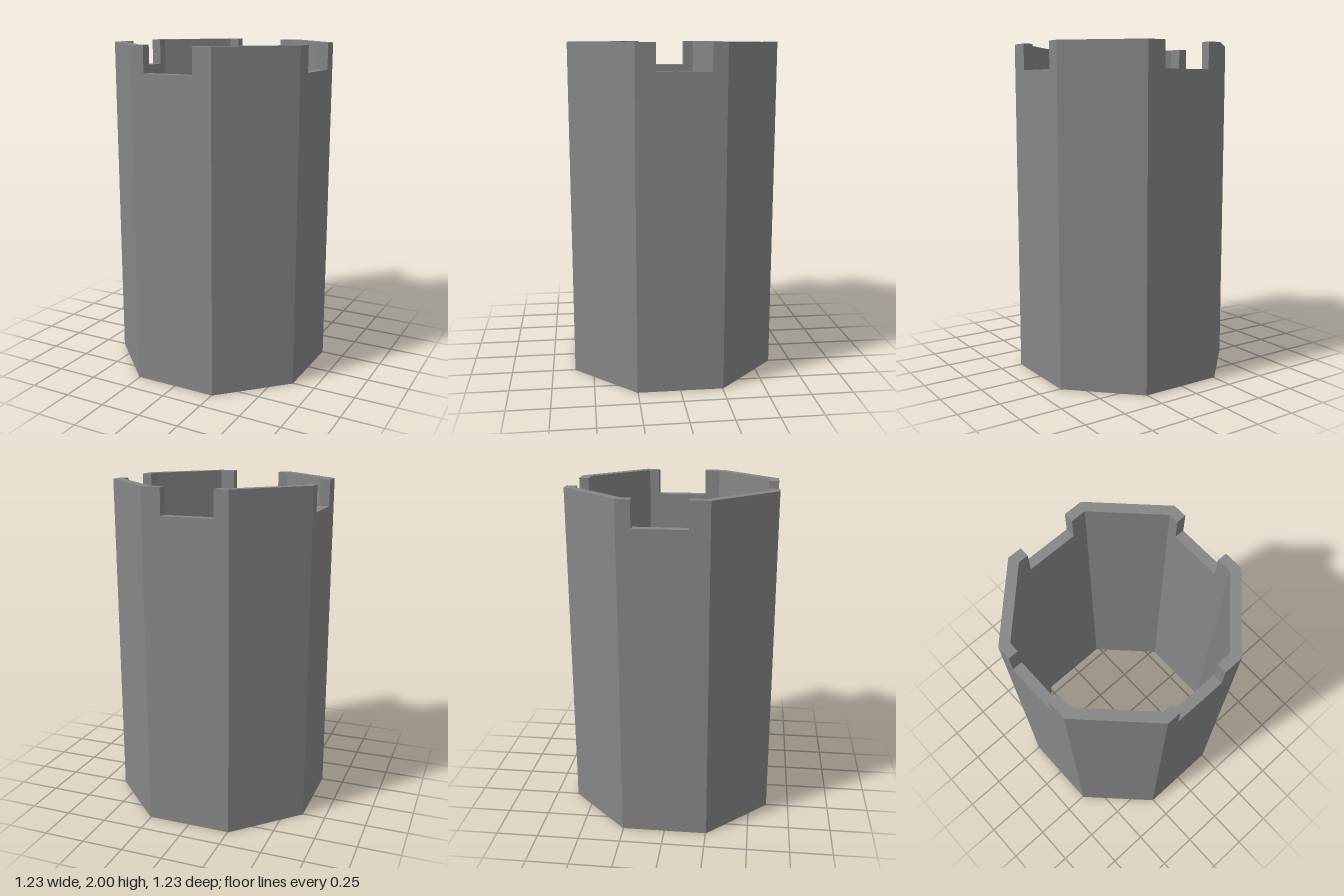
import * as THREE from 'three';

const HIGH = 2, LOW = 1.845;                    // merlon top, notch floor
const OUTER = { face: 0.613, corner: 0.254 };
const INNER = { face: 0.554, corner: 0.23 };
const NOTCH = [-0.17, 0.139];                   // same span in x and z on every notched side

// Plan of the wall: outer/inner point pairs, each with the height of the stretch that follows it
function wallPlan() {
  const plan = [];
  for (let i = 0; i < 4; i++) {
    // front, left, back, right side in turn
    const a = i * Math.PI / 2;
    const nx = Math.round(Math.sin(a)), nz = Math.round(Math.cos(a));
    const dx = nz, dz = -nx;
    const at = (face, t) => [nx * face + dx * t, nz * face + dz * t];
    const [start, end] = dx + dz > 0 ? NOTCH : [-NOTCH[1], -NOTCH[0]];
    const add = (tOuter, tInner, top) =>
      plan.push({ o: at(OUTER.face, tOuter), i: at(INNER.face, tInner), top });
    add(-OUTER.corner, -INNER.corner, HIGH);
    add(start, start, LOW);
    add(end, end, HIGH);
    add(OUTER.corner, INNER.corner, HIGH);
  }
  return plan;
}

function wallGeometry() {
  const pos = [];
  const p = ([x, z], y) => [x, y, z];
  const quad = (a, b, c, d) => pos.push(...a, ...b, ...c, ...a, ...c, ...d);
  const plan = wallPlan();
  plan.forEach((s, k) => {
    const e = plan[(k + 1) % plan.length], h = s.top;
    quad(p(s.o, 0), p(e.o, 0), p(e.o, h), p(s.o, h));   // outside
    quad(p(e.i, 0), p(s.i, 0), p(s.i, h), p(e.i, h));   // inside
    quad(p(s.o, h), p(e.o, h), p(e.i, h), p(s.i, h));   // top rim
    quad(p(s.i, 0), p(e.i, 0), p(e.o, 0), p(s.o, 0));   // bottom rim
    // upright cheeks of the notches
    if (e.top < h) quad(p(e.o, LOW), p(e.i, LOW), p(e.i, HIGH), p(e.o, HIGH));
    if (e.top > h) quad(p(e.i, LOW), p(e.o, LOW), p(e.o, HIGH), p(e.i, HIGH));
  });
  const g = new THREE.BufferGeometry();
  g.setAttribute('position', new THREE.Float32BufferAttribute(pos, 3));
  g.computeVertexNormals();
  return g;
}

export function createModel() {
  const group = new THREE.Group();
  group.name = 'octagonalTower';
  const wall = new THREE.Mesh(
    wallGeometry(),
    new THREE.MeshStandardMaterial({ color: 0x868686, flatShading: true })
  );
  wall.name = 'notchedWall';
  group.add(wall);
  return group;
}
